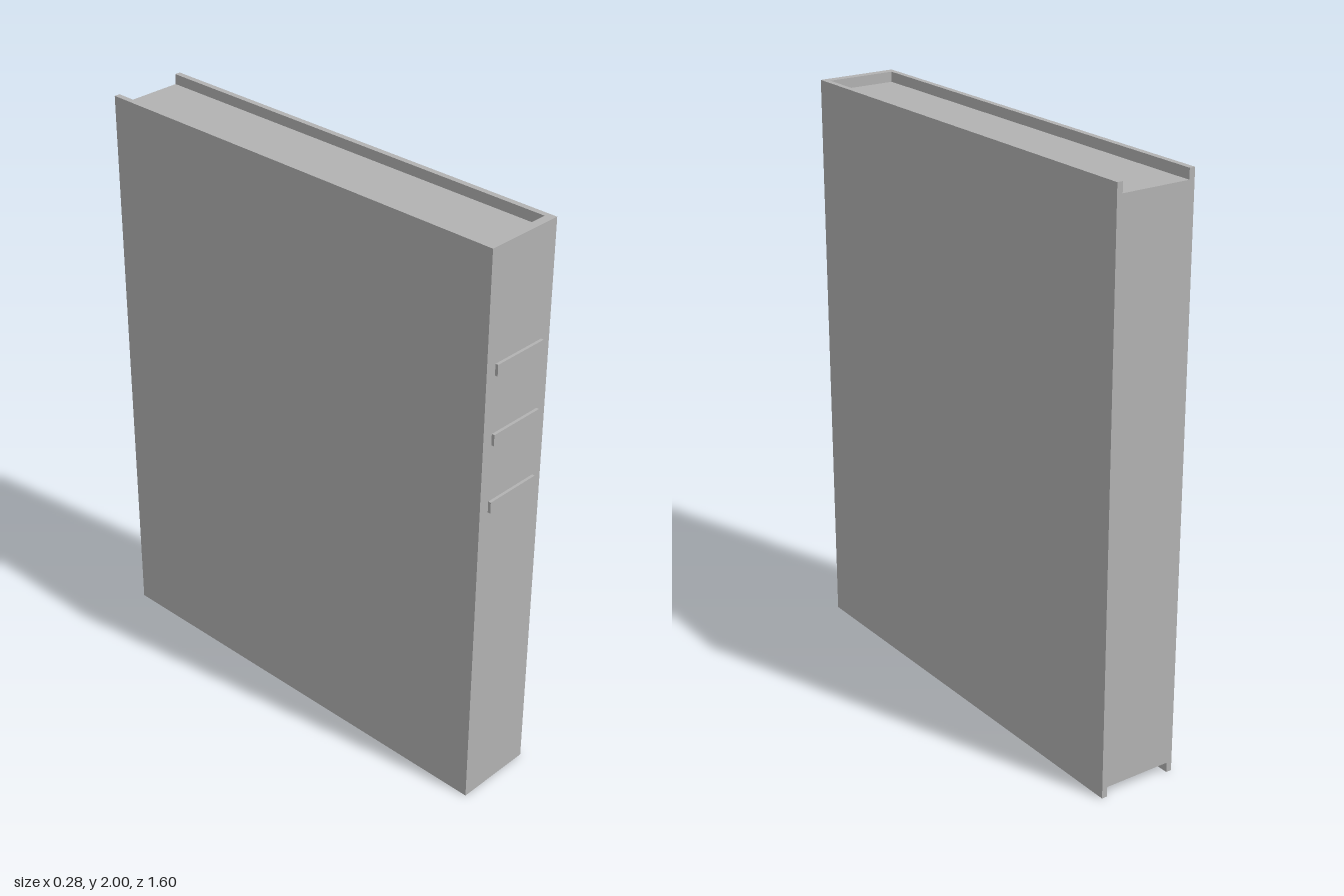
import * as THREE from 'three';

export function createModel() {
  const book = new THREE.Group();
  book.name = 'book';
  const grey = new THREE.MeshStandardMaterial({ color: 0xb2b2b2 });
  grey.name = 'plain grey';

  const add = (name, geometry, x = 0, y = 0, z = 0) => {
    const mesh = new THREE.Mesh(geometry, grey);
    mesh.name = name;
    mesh.position.set(x, y, z);
    book.add(mesh);
    return mesh;
  };

  const halfWidth = 0.142, innerHalf = 0.122;
  const back = -0.8, spineInner = 0.76, spineOuter = 0.79;
  const height = 2, recess = 0.035;

  // Cover: U-shaped plan of two boards and a spine, extruded upwards
  const plan = new THREE.Shape([
    [-halfWidth, back], [-innerHalf, back], [-innerHalf, spineInner],
    [innerHalf, spineInner], [innerHalf, back], [halfWidth, back],
    [halfWidth, spineOuter], [-halfWidth, spineOuter],
  ].map(([x, z]) => new THREE.Vector2(x, -z)));
  const cover = new THREE.ExtrudeGeometry(plan, { depth: height, bevelEnabled: false });
  cover.rotateX(-Math.PI / 2);
  add('cover', cover);

  // Page block: recessed at top and bottom, flush with the open edge
  const pageDepth = spineInner - back;
  add('pages', new THREE.BoxGeometry(innerHalf * 2, height - recess * 2, pageDepth),
    0, height / 2, (spineInner + back) / 2);

  // Raised bands across the spine
  for (const y of [1.6, 1.363, 1.125]) {
    add('spineBand', new THREE.BoxGeometry(0.208, 0.039, 0.01), 0, y, spineOuter + 0.005);
  }

  return book;
}
